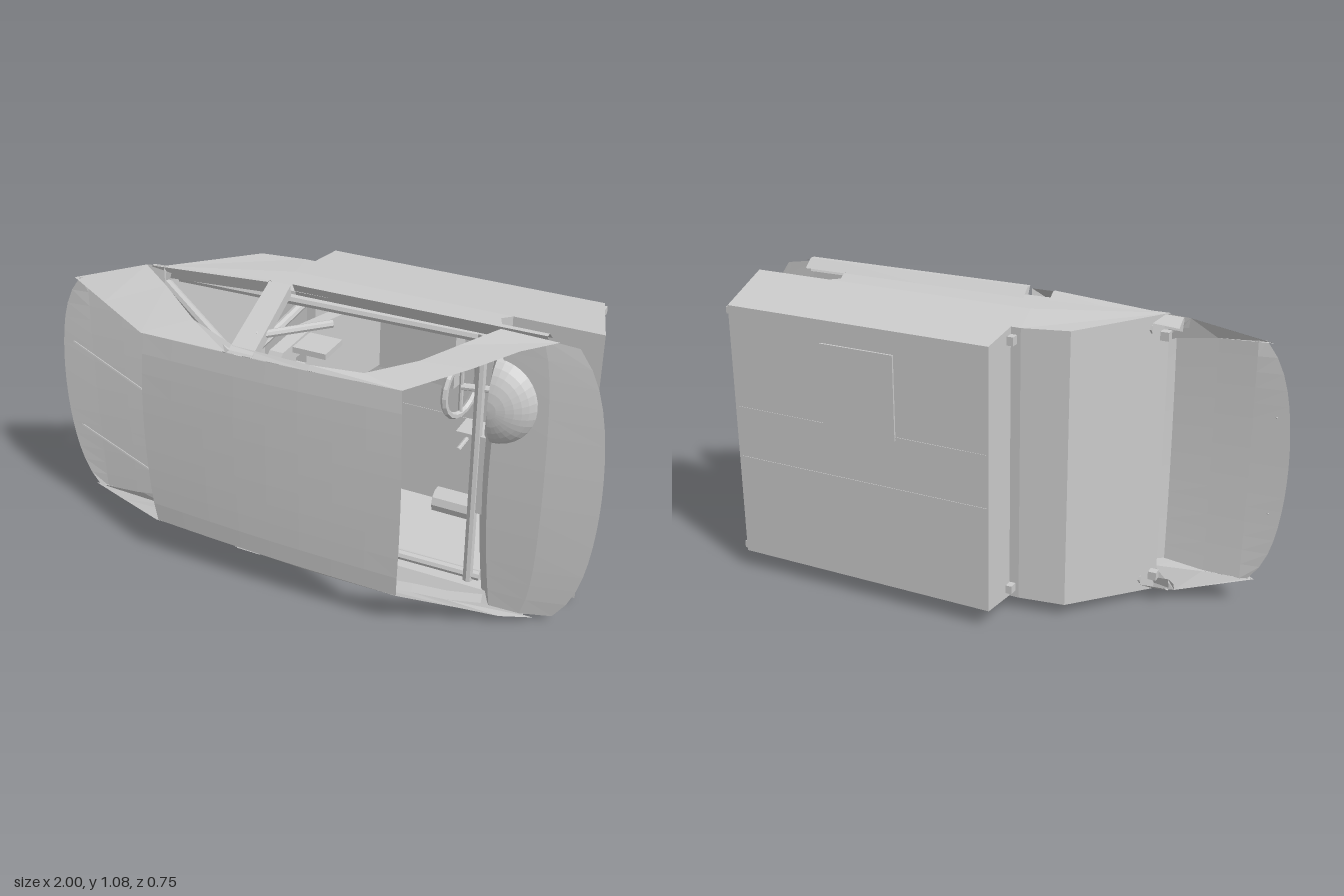
import * as THREE from 'three';

const CY = 0.54; // centre line of the shell; its length runs along x, its height along z

export function createModel() {
  const model = new THREE.Group();
  const mat = new THREE.MeshStandardMaterial({ color: 0xcccccc, flatShading: true, side: THREE.DoubleSide });

  function add(name, geo, pos = [0, 0, 0], rot = [0, 0, 0]) {
    const m = new THREE.Mesh(geo, mat);
    m.name = name;
    m.position.set(...pos);
    m.rotation.set(...rot);
    model.add(m);
    return m;
  }
  const box = (name, size, pos, rot) => add(name, new THREE.BoxGeometry(...size), pos, rot);

  // Skin through equal-length rows of points
  function loft(name, rows) {
    const n = rows[0].length, idx = [];
    for (let i = 0; i < rows.length - 1; i++) {
      for (let j = 0; j < n - 1; j++) {
        const a = i * n + j, b = a + n;
        idx.push(a, b, a + 1, a + 1, b, b + 1);
      }
    }
    const geo = new THREE.BufferGeometry();
    geo.setAttribute('position', new THREE.Float32BufferAttribute(rows.flat(2), 3));
    geo.setIndex(idx);
    geo.computeVertexNormals();
    return add(name, geo);
  }

  // Straight bar between two points
  function bar(name, a, b, r, sides = 8) {
    const p = new THREE.Vector3(...a), q = new THREE.Vector3(...b), d = q.clone().sub(p);
    const m = add(name, new THREE.CylinderGeometry(r, r, d.length(), sides));
    m.position.copy(p).add(q).multiplyScalar(0.5);
    m.quaternion.setFromUnitVectors(new THREE.Vector3(0, 1, 0), d.normalize());
  }

  // Tub: profile in x, z with a half width that depends on z
  const half = z => z < -0.06 ? 0.508 + (z + 0.06) * 0.123 : 0.508;
  const profile = [[-0.59, 0.1], [-0.36, -0.18], [-0.2, -0.21], [-0.165, -0.21], [-0.165, -0.37],
    [0.83, -0.37], [0.92, -0.06], [0.62, -0.06], [0.59, -0.03], [0.63, 0.06]];
  loft('tubSkin', profile.map(([x, z]) => [-1, 1].map(s => [x, CY + s * half(z), z])));
  const sidePieces = [
    [[-0.165, -0.37], [0.83, -0.37], [0.92, -0.06], [-0.165, -0.06]],
    [[-0.59, 0.1], [-0.36, -0.18], [-0.2, -0.21], [-0.165, -0.21], [-0.165, -0.06],
      [0.62, -0.06], [0.59, -0.03], [0.63, 0.06]],
  ];
  for (const s of [-1, 1]) {
    for (const piece of sidePieces) {
      const geo = new THREE.ShapeGeometry(new THREE.Shape(piece.map(p => new THREE.Vector2(...p))));
      const p = geo.attributes.position;
      for (let i = 0; i < p.count; i++) p.setXYZ(i, p.getX(i), CY + s * half(p.getY(i)), p.getY(i));
      geo.computeVertexNormals();
      add('tubSide', geo);
    }
  }

  // Hatch, seams and fittings on the tub
  box('floorHatch', [0.28, 0.3, 0.01], [0.32, 0.78, -0.372]);
  for (const y of [0.45, 0.64]) box('floorSeam', [0.98, 0.006, 0.004], [0.33, y, -0.37]);
  const noseTilt = Math.atan2(0.09, 0.31);
  add('noseRing', new THREE.TorusGeometry(0.035, 0.006, 4, 5), [0.88, 0.4, -0.22], [0, Math.PI / 2 + noseTilt, 0]);
  box('noseSlot', [0.006, 0.13, 0.006], [0.885, 0.54, -0.19]);
  for (const s of [-1, 1]) {
    box('rearClip', [0.03, 0.03, 0.03], [-0.59, CY + s * 0.44, 0.07]);
    box('stepClip', [0.025, 0.03, 0.03], [-0.175, CY + s * 0.45, -0.225]);
    box('noseClip', [0.015, 0.025, 0.03], [0.835, CY + s * 0.45, -0.35]);
  }

  // Roof, gently crowned
  const roof = [];
  for (let i = 0; i <= 8; i++) {
    const u = i / 8, row = [];
    for (let j = 0; j <= 10; j++) {
      const v = j / 5 - 1, bow = 1 - v * v;
      const x0 = -0.52 - 0.02 * bow, x1 = 0.42 + 0.012 * bow;
      row.push([x0 + (x1 - x0) * u, CY + v * (0.375 + 0.015 * u),
        0.347 + 0.012 * Math.sqrt(bow) + 0.01 * Math.sin(Math.PI * u)]);
    }
    roof.push(row);
  }
  loft('roof', roof);

  // Side frames: from the outer body line to the arched window edge
  const outer = [[-0.92, 0.43, 0.175], [-0.74, 0.405, 0.255], [-0.53, 0.375, 0.348], [-0.2, 0.38, 0.352],
    [0.1, 0.385, 0.354], [0.42, 0.39, 0.348], [0.6, 0.455, 0.235], [0.72, 0.505, 0.155], [0.82, 0.525, 0.085]];
  const arch = [[-0.66, 0.5, 0.1], [-0.54, 0.47, 0.165], [-0.37, 0.425, 0.27], [-0.18, 0.4, 0.333],
    [0.1, 0.4, 0.342], [0.28, 0.405, 0.322], [0.43, 0.445, 0.24], [0.53, 0.49, 0.17], [0.63, 0.53, 0.085]];
  for (const s of [-1, 1]) {
    const at = ([x, w, z]) => [x, CY + s * w, z];
    loft('sideFrame', [outer.map(at), arch.map(at), arch.map(([x, w, z]) => at([x, w - 0.03, z - 0.012]))]);
    // Rear quarter below the frame
    loft('rearQuarter', [[at([-0.92, 0.43, 0.175]), at([-0.74, 0.43, 0.15]), at([-0.58, 0.42, 0.1])],
      [at([-0.9, 0.432, 0.175]), at([-0.66, 0.5, 0.1]), at([-0.56, 0.508, 0.09])]]);
    // Sills on either side of the centre post
    loft('rearSill', [[-0.64, 0.5], [-0.18, 0.53]].map(([x, w]) =>
      [[w - 0.045, 0.085], [w, 0.1], [w, 0.085], [w - 0.025, 0.05]].map(([b, z]) => at([x, b, z]))));
    loft('doorSill', [-0.09, 0.3, 0.64, 0.78].map(x =>
      [[0.49, 0.07], [0.538, 0.095], [0.538, 0.075], [0.508, 0.04]].map(([b, z]) => at([x, b, z - x * 0.012]))));
    // Centre post and bracing
    loft('centrePost', [[0.39, 0.35, -0.19, -0.1], [0.53, 0.09, -0.18, -0.1]].map(([w, z, a, b]) =>
      [[a, w - 0.04], [a, w], [b, w], [b, w - 0.04], [a, w - 0.04]].map(([x, q]) => at([x, q, z]))));
    bar('rearBrace', at([-0.57, 0.45, 0.11]), at([-0.19, 0.375, 0.34]), 0.017);
    bar('doorBrace', at([-0.13, 0.42, 0.27]), at([0.06, 0.43, 0.1]), 0.014);
    bar('cageLeg', at([-0.13, 0.37, 0.34]), at([-0.1, 0.45, -0.3]), 0.016);
    bar('lowerRail', at([-0.55, 0.46, 0.06]), at([0.6, 0.46, 0.03]), 0.018);
    // Rear window strips
    bar('windowStrip', at([-0.95, 0.175, 0.183]), at([-0.54, 0.16, 0.353]), 0.004, 4);
  }
  bar('mainDiagonal', [-0.15, 0.9, 0.34], [-0.15, 0.42, 0.02], 0.016);
  bar('mainCrossTube', [-0.15, 0.17, 0.335], [-0.15, 0.91, 0.335], 0.016);
  bar('dashTube', [0.56, 0.06, 0.04], [0.56, 1.02, 0.04], 0.018);

  // Rear deck with a bowed tail edge and a slope down to the cabin
  const deck = [], cowl = [];
  for (let j = 0; j <= 16; j++) {
    const v = j / 8 - 1, v2 = v * v;
    const tail = -1 + 0.06 * v2 + 0.045 * v2 * v2 * v2;
    deck.push([[tail, 0.436, 0.178], [-0.87, 0.435, 0.168], [-0.74, 0.43, 0.16], [-0.6, 0.41, 0.15], [-0.53, 0.39, 0.07]]
      .map(([x, w, z]) => [x, CY + v * w, z + 0.01 * (1 - v2)]));
    // Front cowl
    const tip = 1 - 0.07 * v2 - 0.05 * v2 * v2 * v2;
    const back = 0.63 + 0.03 * v2;
    cowl.push([[back - 0.05, 0.515, 0.03], [back, 0.525, 0.09], [(back + tip) / 2, 0.525, 0.085], [tip, 0.51, 0.068], [tip - 0.02, 0.5, 0.058]]
      .map(([x, w, z]) => [x, CY + v * w, z + (z > 0.08 ? 0.012 * (1 - v2) : 0)]));
  }
  loft('rearDeck', deck);
  loft('frontCowl', cowl);

  // Instrument hood, a quarter dome open to the cabin
  const hood = new THREE.SphereGeometry(1, 16, 8, Math.PI / 2, Math.PI, 0, Math.PI / 2);
  hood.rotateX(Math.PI / 2).scale(0.15, 0.16, 0.1);
  add('instrumentHood', hood, [0.63, 0.82, 0.065]);
  box('dashPanel', [0.05, 0.3, 0.1], [0.6, 0.5, 0.0]);
  box('centreConsole', [0.14, 0.08, 0.1], [0.53, 0.56, -0.08]);
  add('gearLever', new THREE.CylinderGeometry(0.008, 0.008, 0.1, 8), [0.5, 0.58, 0], [Math.PI / 2, 0, 0]);

  // Steering wheel and column
  add('steeringWheel', new THREE.TorusGeometry(0.1, 0.012, 6, 20), [0.5, 0.82, 0.05], [0, Math.PI / 2 - 0.2, 0]);
  bar('steeringColumn', [0.5, 0.82, 0.05], [0.63, 0.82, 0.02], 0.012);
  bar('wheelSpoke', [0.5, 0.72, 0.05], [0.5, 0.92, 0.05], 0.008);

  // Driver's seat: shaped back with slots, and a cushion
  const seatShape = new THREE.Shape([[-0.13, -0.3], [0.13, -0.3], [0.15, 0.1], [0.11, 0.24], [0.08, 0.26],
    [-0.08, 0.26], [-0.11, 0.24], [-0.15, 0.1]].map(p => new THREE.Vector2(...p)));
  for (const s of [-1, 1]) {
    seatShape.holes.push(new THREE.Path([[0.03, 0.13], [0.08, 0.13], [0.07, 0.18], [0.03, 0.18]]
      .map(([a, b]) => new THREE.Vector2(a * s, b))));
  }
  const seat = new THREE.ExtrudeGeometry(seatShape, { depth: 0.05, bevelEnabled: false });
  seat.applyMatrix4(new THREE.Matrix4().set(0, -0.25, 1, 0, 1, 0, 0, 0, 0, 1, 0, 0, 0, 0, 0, 1));
  add('seatBack', seat, [-0.04, 0.79, 0]);
  box('seatCushion', [0.36, 0.28, 0.07], [0.2, 0.79, -0.27], [0, -0.12, 0]);
  for (const s of [-1, 1]) box('seatWing', [0.12, 0.02, 0.12], [0.04, 0.79 + s * 0.125, 0.17]);

  // Mirror and extinguisher
  const mirror = add('mirror', new THREE.SphereGeometry(1, 16, 8), [0.33, 0.54, 0.278]);
  mirror.scale.set(0.015, 0.07, 0.024);
  bar('mirrorStalk', [0.33, 0.54, 0.28], [0.35, 0.54, 0.35], 0.006);
  add('extinguisher', new THREE.CylinderGeometry(0.045, 0.045, 0.14, 10), [0.47, 0.31, -0.03], [0, 0, Math.PI / 2]);
  return model;
}
